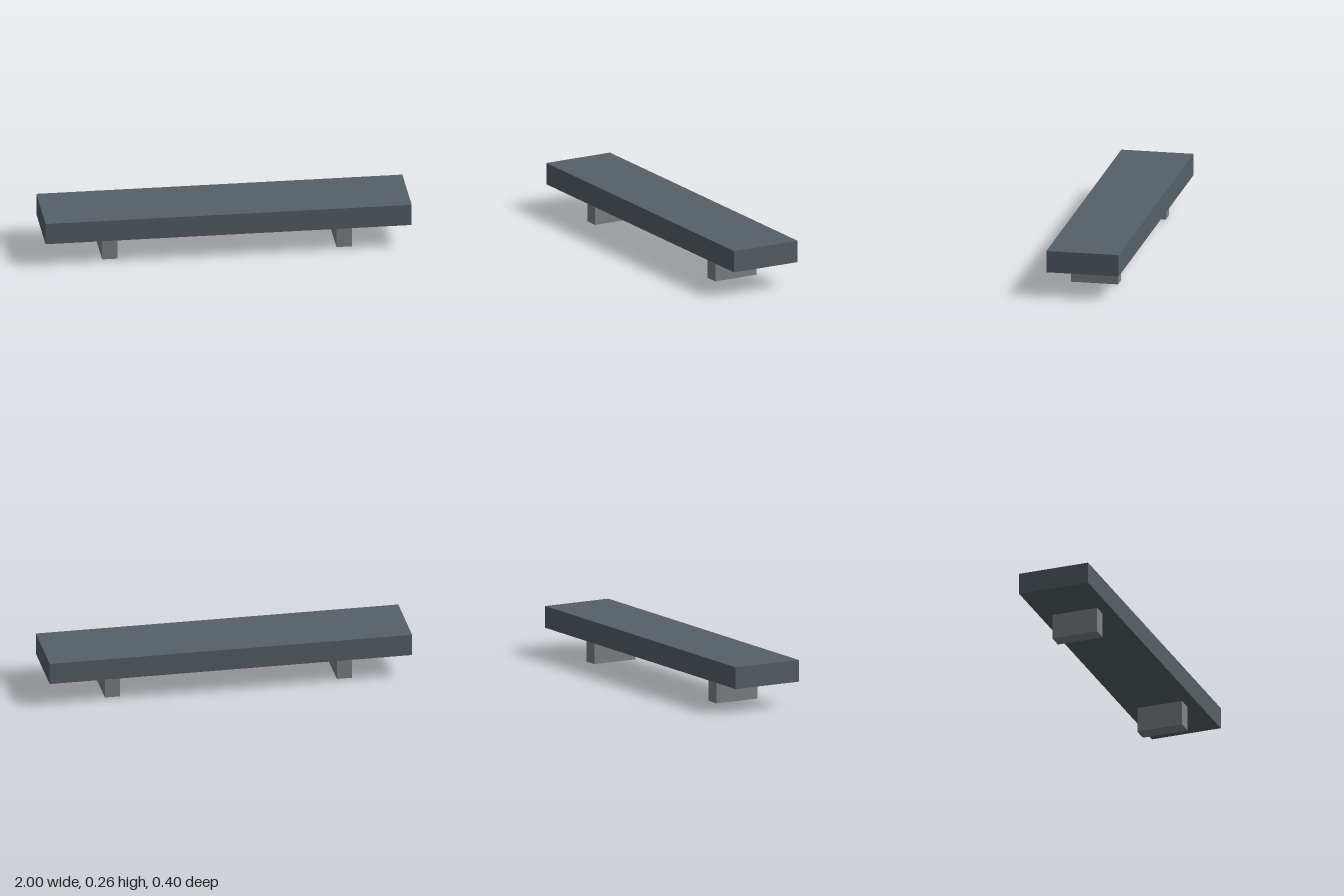
import * as THREE from 'three';

export function createModel() {
  const slate = new THREE.MeshStandardMaterial({ color: 0x566067 });
  slate.name = 'slate';
  const grey = new THREE.MeshStandardMaterial({ color: 0x7e8386 });
  grey.name = 'grey stone';

  const bench = new THREE.Group();
  bench.name = 'bench';

  // Box standing with its underside at the given height
  const addBox = (name, material, width, height, depth, x, bottom) => {
    const mesh = new THREE.Mesh(new THREE.BoxGeometry(width, height, depth), material);
    mesh.name = name;
    mesh.position.set(x, bottom + height / 2, 0);
    bench.add(mesh);
  };

  // Seat slab
  addBox('seat', slate, 2, 0.12, 0.4, 0, 0.14);

  // Two block supports
  for (const side of [-1, 1]) {
    addBox(side > 0 ? 'leftSupport' : 'rightSupport', grey, 0.084, 0.14, 0.26, side * 0.64, 0);
  }

  return bench;
}
